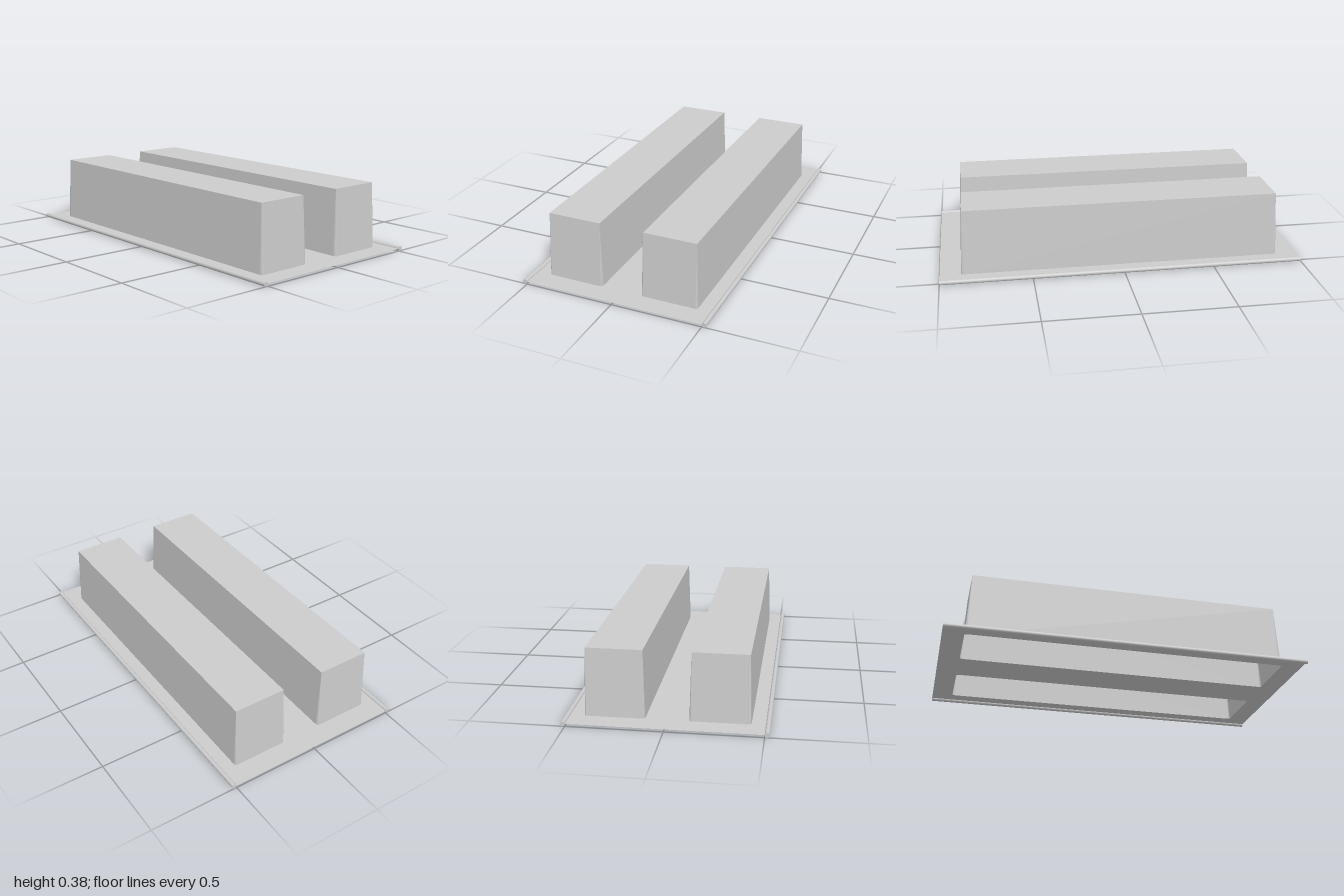
import * as THREE from 'three';

const material = new THREE.MeshStandardMaterial({ color: 0xcccccc, side: THREE.DoubleSide });
const BASE_Y = 0.0135, TOP_Y = 0.375;
const ROD_R = 0.0125, ROD_Z = 0.512;
const TUB_Z = 0.27;                     // centre of each tub
const TOP = { x: 0.864, z: 0.147 };     // half sizes of the tub's closed top
const FLARE = { x: 0.02, z: 0.011 };    // how far the open rim spreads beyond the top
const CORNER_STEPS = 4;

// Rim outline with rounded corners; each point remembers the sharp top corner above it
function rimPoints() {
  const points = [];
  [[1, 1], [-1, 1], [-1, -1], [1, -1]].forEach(([sx, sz], c) => {
    for (let i = 0; i <= CORNER_STEPS; i++) {
      const a = (c + i / CORNER_STEPS) * Math.PI / 2;
      points.push({
        x: sx * TOP.x + FLARE.x * Math.cos(a),
        z: sz * TOP.z + FLARE.z * Math.sin(a),
        topX: sx * TOP.x,
        topZ: sz * TOP.z,
      });
    }
  });
  return points;
}

// Thin open-bottomed tub: tapered walls, corners narrowing to a point, flat top
function tubGeometry() {
  const positions = [];
  const rim = rimPoints();
  rim.forEach((p, i) => {
    const q = rim[(i + 1) % rim.length];
    const a = [p.x, BASE_Y, p.z], b = [q.x, BASE_Y, q.z];
    const c = [q.topX, TOP_Y, q.topZ], d = [p.topX, TOP_Y, p.topZ];
    positions.push(...a, ...d, ...b);
    if (p.topX !== q.topX || p.topZ !== q.topZ) positions.push(...b, ...d, ...c);
  });
  const { x, z } = TOP;
  positions.push(-x, TOP_Y, -z, -x, TOP_Y, z, x, TOP_Y, z);
  positions.push(-x, TOP_Y, -z, x, TOP_Y, z, x, TOP_Y, -z);
  const geometry = new THREE.BufferGeometry();
  geometry.setAttribute('position', new THREE.Float32BufferAttribute(positions, 3));
  geometry.computeVertexNormals();
  return geometry;
}

// Flat sheet with one opening under each tub
function plateGeometry() {
  const shape = new THREE.Shape([
    new THREE.Vector2(-1, -ROD_Z), new THREE.Vector2(1, -ROD_Z),
    new THREE.Vector2(1, ROD_Z), new THREE.Vector2(-1, ROD_Z),
  ]);
  for (const side of [1, -1]) {
    shape.holes.push(new THREE.Path(
      rimPoints().map(p => new THREE.Vector2(p.x, p.z + side * TUB_Z))));
  }
  return new THREE.ShapeGeometry(shape).rotateX(-Math.PI / 2).translate(0, BASE_Y, 0);
}

export function createModel() {
  const group = new THREE.Group();
  const add = (name, geometry, z = 0) => {
    const mesh = new THREE.Mesh(geometry, material);
    mesh.name = name;
    mesh.position.z = z;
    group.add(mesh);
  };

  add('basePlate', plateGeometry());

  const tub = tubGeometry();
  const rod = new THREE.CylinderGeometry(ROD_R, ROD_R, 2, 20)
    .rotateZ(Math.PI / 2).translate(0, ROD_R, 0);
  for (const [label, side] of [['front', 1], ['back', -1]]) {
    add(label + 'Tub', tub, side * TUB_Z);
    add(label + 'EdgeRod', rod, side * ROD_Z);
  }
  return group;
}
